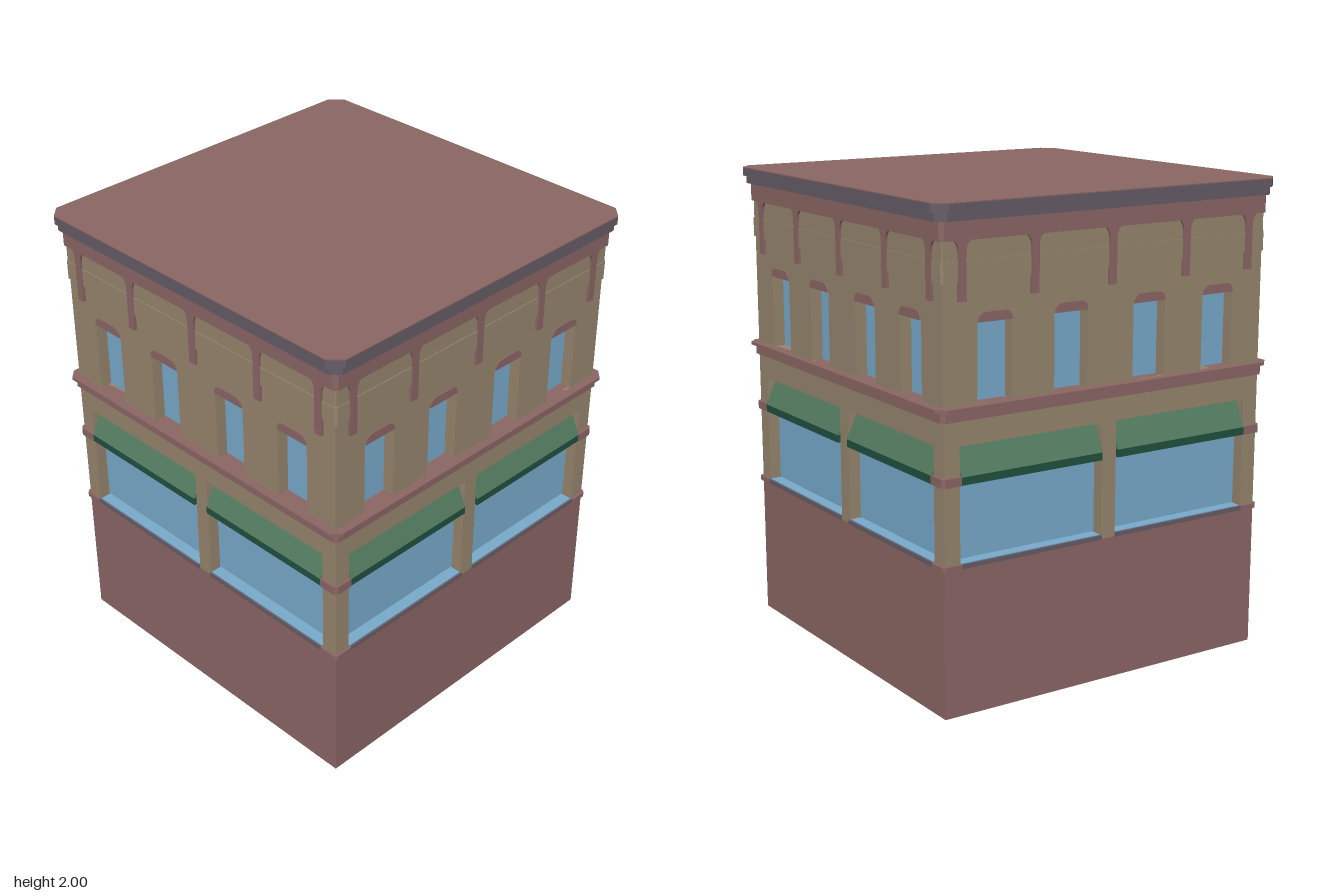
import * as THREE from 'three';

const mat = (name, color) => {
  const m = new THREE.MeshStandardMaterial({ color });
  m.name = name;
  return m;
};

export function createModel() {
  const model = new THREE.Group();
  model.name = 'cornerBuilding';

  const maroon = mat('maroonBrick', 0x8a6664);
  const tan = mat('tanStone', 0x96856d);
  const blue = mat('windowBlue', 0x78aacc);
  const green = mat('awningGreen', 0x52795f);
  const darkGreen = mat('valanceGreen', 0x20503f);
  const slate = mat('slateTrim', 0x665c66);

  const HALF = 0.77;   // wall face distance from the centre
  const WALL = 0.05;   // wall thickness, so also the window recess

  const add = (parent, name, geometry, material) => {
    const mesh = new THREE.Mesh(geometry, material);
    mesh.name = name;
    parent.add(mesh);
    return mesh;
  };
  const box = (parent, name, material, w, h, d, x, y, z) =>
    add(parent, name, new THREE.BoxGeometry(w, h, d), material).position.set(x, y, z);
  const shapeOf = pts => new THREE.Shape(pts.map(p => new THREE.Vector2(...p)));
  const extrude = (shape, depth) =>
    new THREE.ExtrudeGeometry(shape, { depth, bevelEnabled: false, curveSegments: 6 });

  // Square band round the building, its corners cut back to the wall line
  const band = (name, material, h, y0, y1) => {
    const c = HALF;
    const shape = shapeOf([[c, -h], [h, -c], [h, c], [c, h], [-c, h], [-h, c], [-h, -c], [-c, -h]]);
    const g = extrude(shape, y1 - y0).rotateX(-Math.PI / 2).translate(0, y0, 0);
    add(model, name, g, material);
  };

  // Ground mass and the glazed core behind the walls
  box(model, 'base', maroon, HALF * 2, 0.6, HALF * 2, 0, 0.3, 0);
  const core = (HALF - WALL) * 2;
  box(model, 'glass', blue, core, 1.0, core, 0, 1.1, 0);

  // Horizontal mouldings
  band('courseLower', maroon, 0.785, 1.18, 1.222);
  band('courseLip', maroon, 0.808, 1.222, 1.235);
  band('friezeLower', tan, 0.778, 1.70, 1.78);
  band('friezeUpper', tan, 0.774, 1.78, 1.855);
  band('architrave', maroon, 0.785, 1.855, 1.93);
  band('corniceLower', slate, 0.805, 1.93, 1.963);
  band('corniceUpper', slate, 0.82, 1.963, 1.996);
  band('roof', maroon, 0.82, 1.996, 2.0);

  const shopWindows = [-0.367, 0.367];
  const shopWidth = 0.664;
  const upperWindows = [-0.54, -0.19, 0.19, 0.54];
  const upperWidth = 0.157;

  const rectHole = (x, w, y0, y1) => new THREE.Path([
    [x - w / 2, y0], [x - w / 2, y1], [x + w / 2, y1], [x + w / 2, y0],
  ].map(p => new THREE.Vector2(...p)));

  for (let i = 0; i < 4; i++) {
    const side = new THREE.Group();
    side.name = 'facade' + (i + 1);
    side.rotation.y = i * Math.PI / 2;
    model.add(side);

    // Pierced wall; one end stops short so neighbours meet at the corner
    const wall = shapeOf([[-HALF, 0.6], [HALF - WALL, 0.6], [HALF - WALL, 1.95], [-HALF, 1.95]]);
    shopWindows.forEach(x => wall.holes.push(rectHole(x, shopWidth, 0.602, 1.08)));
    upperWindows.forEach(x => wall.holes.push(rectHole(x, upperWidth, 1.235, 1.545)));
    add(side, 'wall', extrude(wall, WALL).translate(0, 0, HALF - WALL), tan);

    shopWindows.forEach(x => {
      // Sill with a pale blue ledge on top
      box(side, 'shopSill', slate, shopWidth, 0.018, 0.058, x, 0.609, 0.749);
      box(side, 'shopLedge', blue, shopWidth - 0.01, 0.004, 0.05, x, 0.619, 0.745);
      // Sloped awning and hanging valance, extruded sideways
      const w = shopWidth - 0.006;
      const slope = shapeOf([[-0.715, 0.962], [-0.715, 1.078], [-0.725, 1.078], [-0.78, 0.962]]);
      add(side, 'awning', extrude(slope, w).rotateY(Math.PI / 2).translate(x - w / 2, 0, 0), green);
      box(side, 'valance', darkGreen, w, 0.032, 0.064, x, 0.946, 0.748);
    });

    // Window heads with rounded upper corners
    upperWindows.forEach(x => {
      const a = upperWidth / 2;
      const head = new THREE.Shape();
      head.moveTo(-a, 1.543);
      head.lineTo(a, 1.543);
      head.quadraticCurveTo(a - 0.005, 1.58, a - 0.035, 1.58);
      head.lineTo(-a + 0.035, 1.58);
      head.quadraticCurveTo(-a + 0.005, 1.58, -a, 1.543);
      add(side, 'windowHead', extrude(head, 0.008).translate(x, 0, HALF - 0.003), maroon);
    });

    // Slim brackets flaring out beneath the architrave
    [-0.69, -0.365, 0, 0.365, 0.69].forEach(x => {
      const b = new THREE.Shape();
      b.moveTo(-0.017, 1.63);
      b.lineTo(0.017, 1.63);
      b.lineTo(0.017, 1.81);
      b.quadraticCurveTo(0.019, 1.85, 0.042, 1.856);
      b.lineTo(-0.042, 1.856);
      b.quadraticCurveTo(-0.019, 1.85, -0.017, 1.81);
      add(side, 'bracket', extrude(b, 0.022).translate(x, 0, 0.761), maroon);
    });

    // Corner pier capital and foot moulding
    const corner = shapeOf([[0.697, -0.697], [0.697, -0.783], [HALF, -0.783], [0.783, -HALF], [0.783, -0.697]].reverse());
    [['capital', 0.93, 0.035], ['pierFoot', 0.6, 0.02]].forEach(([name, y, h]) =>
      add(side, name, extrude(corner, h).rotateX(-Math.PI / 2).translate(0, y, 0), maroon));
  }
  return model;
}
